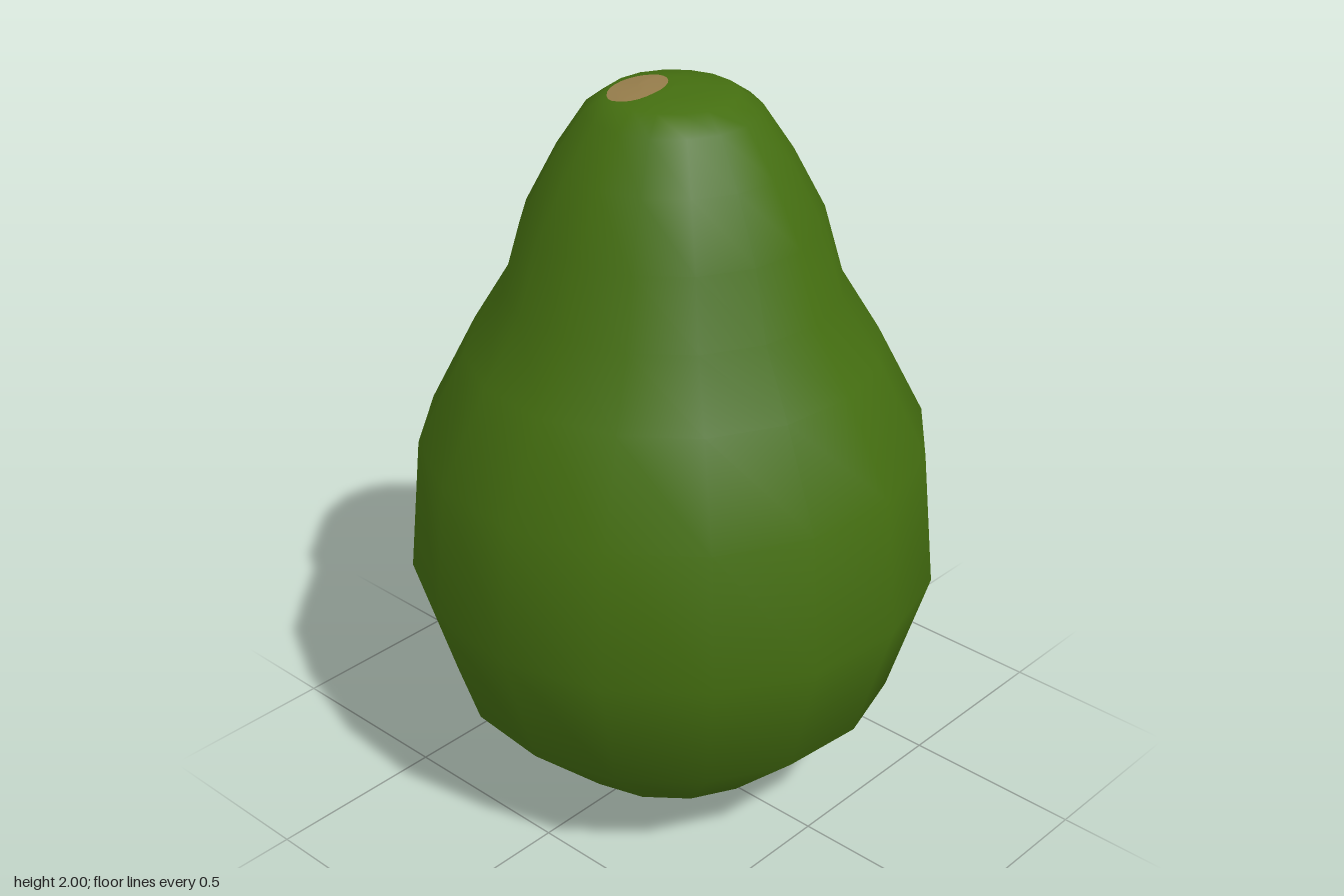
import * as THREE from 'three';

// Body profile: radius, height
const PROFILE = [
  [0, 0], [0.08, 0.006], [0.16, 0.02], [0.337, 0.09], [0.597, 0.34], [0.703, 0.69], [0.668, 1.06],
  [0.54, 1.31], [0.437, 1.48], [0.386, 1.66], [0.302, 1.82], [0.222, 1.94], [0.162, 1.981], [0.08, 1.993], [0, 1.996],
];

// Height of the crown surface at a given radius
function crownHeight(r) {
  for (let i = PROFILE.length - 1; i > 0; i--) {
    const [r0, y0] = PROFILE[i], [r1, y1] = PROFILE[i - 1];
    if (r <= r1) return y0 + (y1 - y0) * (r - r0) / (r1 - r0);
  }
  return 0;
}

export function createModel() {
  const group = new THREE.Group();
  group.name = 'avocado';
  const skin = new THREE.MeshStandardMaterial({ color: 0x446e10 });
  skin.name = 'green skin';
  const stem = new THREE.MeshStandardMaterial({ color: 0x967d4b });
  stem.name = 'brown stem';

  // Sixteen-sided, smooth-shaded body
  const points = PROFILE.map(([r, y]) => new THREE.Vector2(r, y));
  const body = new THREE.Mesh(new THREE.LatheGeometry(points, 16, 0.1), skin);
  body.name = 'body';
  group.add(body);

  // Off-centre oval stem scar laid over the crown
  const scarGeo = new THREE.RingGeometry(0, 1, 24, 4);
  const pos = scarGeo.attributes.position;
  const tilt = 0.2;
  for (let i = 0; i < pos.count; i++) {
    const u = pos.getX(i) * 0.095, v = pos.getY(i) * 0.066;
    const x = -0.06 + u * Math.cos(tilt) - v * Math.sin(tilt);
    const z = -0.063 - u * Math.sin(tilt) - v * Math.cos(tilt);
    pos.setXYZ(i, x, crownHeight(Math.hypot(x, z)) + 0.004, z);
  }
  scarGeo.computeVertexNormals();
  const scar = new THREE.Mesh(scarGeo, stem);
  scar.name = 'stemScar';
  group.add(scar);

  return group;
}
